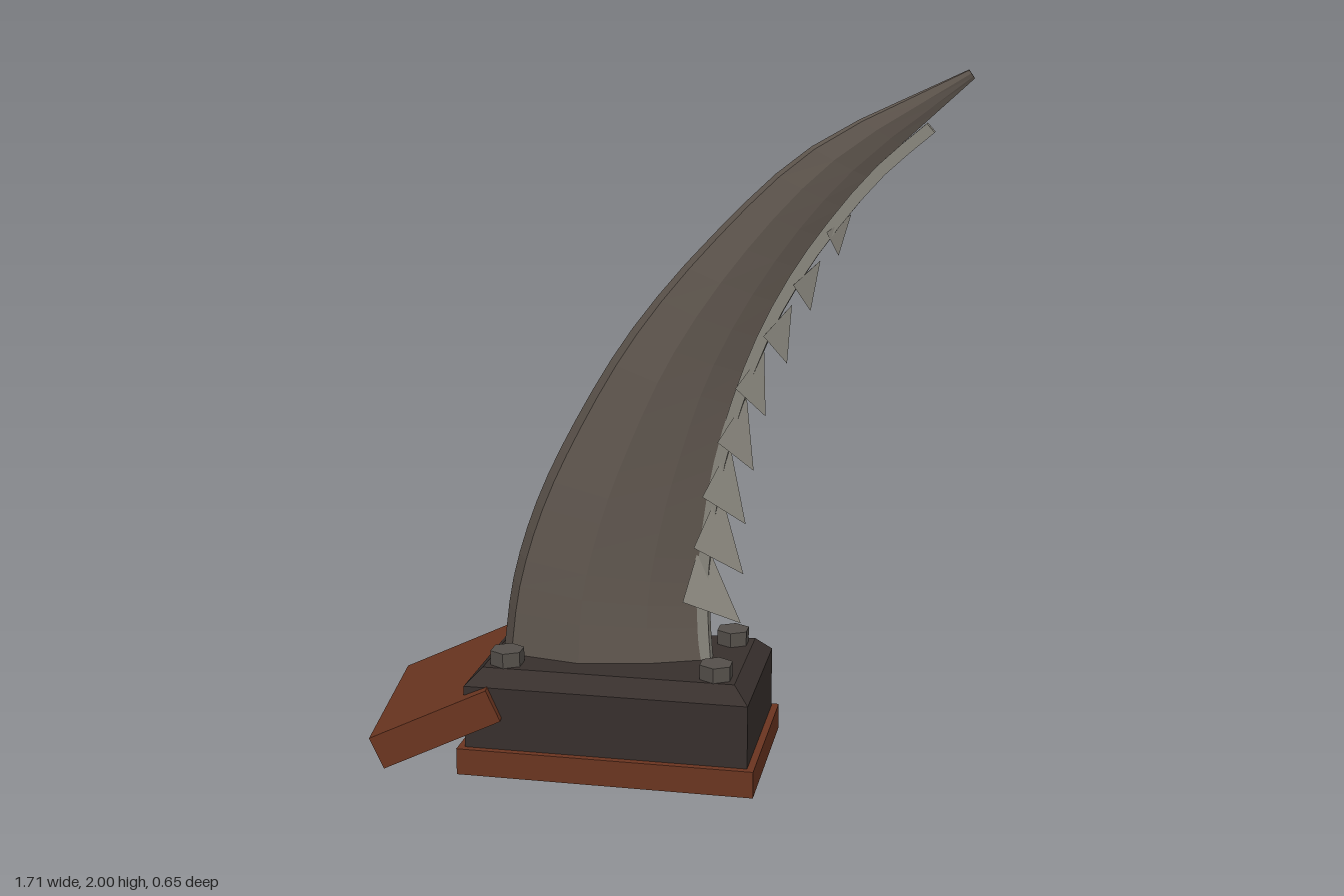
import * as THREE from 'three';
import { ConvexGeometry } from 'three/addons/geometries/ConvexGeometry.js';

const mat = (color) => new THREE.MeshStandardMaterial({ color, flatShading: true });
const V = (x, y, z = 0) => new THREE.Vector3(x, y, z);
const curve = (pts) => new THREE.CatmullRomCurve3(pts.map(([x, y]) => V(x, y)));

// Skin a list of equal closed rings (counter-clockwise seen from the far end), with end caps
function loft(rings) {
  const n = rings[0].length, last = rings.length - 1, pos = [], idx = [];
  rings.forEach((r) => r.forEach((p) => pos.push(p.x, p.y, p.z)));
  for (let i = 0; i < last; i++) {
    for (let j = 0; j < n; j++) {
      const a = i * n + j, b = i * n + (j + 1) % n;
      idx.push(a, b, b + n, a, b + n, a + n);
    }
  }
  for (let j = 1; j < n - 1; j++) {
    idx.push(0, j + 1, j, last * n, last * n + j, last * n + j + 1);
  }
  const g = new THREE.BufferGeometry();
  g.setAttribute('position', new THREE.Float32BufferAttribute(pos, 3));
  g.setIndex(idx);
  const flat = g.toNonIndexed();
  flat.computeVertexNormals();
  return flat;
}

export function createModel() {
  const model = new THREE.Group();
  const brown = mat(0x6b3520), dark = mat(0x38302d), steel = mat(0x60574f);
  const edgeMat = mat(0x8a877e), boltMat = mat(0x55504b);
  const add = (name, geo, material, x = 0, y = 0, z = 0) => {
    const m = new THREE.Mesh(geo, material);
    m.name = name;
    m.position.set(x, y, z);
    model.add(m);
    return m;
  };
  const zc = -0.006;

  // Wooden plinth and tilted plank
  add('plinth', new THREE.BoxGeometry(0.86, 0.078, 0.53), brown, -0.1, 0.042, zc);
  const plank = add('plank', new THREE.BoxGeometry(0.37, 0.1, 0.6), brown, -0.625, 0.147, -0.005);
  plank.rotation.set(0, 0.14, 0.42, 'YZX');

  // Dark socket block with chamfered edges and corners
  const bevel = 0.045, hw = 0.41 - bevel, hd = 0.245 - bevel;
  const outline = new THREE.Shape([
    new THREE.Vector2(-hw, -hd), new THREE.Vector2(hw, -hd),
    new THREE.Vector2(hw, hd), new THREE.Vector2(-hw, hd),
  ]);
  const blockGeo = new THREE.ExtrudeGeometry(outline, {
    depth: 0.31 - 2 * bevel, bevelEnabled: true, bevelSegments: 1,
    bevelSize: bevel, bevelThickness: bevel,
  });
  blockGeo.rotateX(-Math.PI / 2);
  add('socketBlock', blockGeo, dark, -0.1, bevel, zc);

  // Hexagonal bolts
  for (const x of [-0.405, 0.205]) {
    for (const z of [-0.152, 0.152]) {
      add('bolt', new THREE.CylinderGeometry(0.05, 0.05, 0.06, 6), boltMat, x, 0.323, z + zc);
    }
  }

  // Curved blade: faceted sections between the back and cutting curves
  const back = curve([[-0.46, 0.28], [-0.426, 0.52], [-0.352, 0.757], [-0.235, 1.0],
    [-0.066, 1.275], [0.167, 1.55], [0.43, 1.79], [0.844, 1.998]]);
  const front = curve([[0.15, 0.28], [0.13, 0.47], [0.15, 0.68], [0.185, 0.89],
    [0.255, 1.16], [0.4, 1.46], [0.585, 1.71], [0.86, 1.975]]);
  const width = curve([[0.12, 0], [0.11, 1], [0.1, 2], [0.088, 3],
    [0.073, 4], [0.053, 5], [0.033, 6], [0.008, 7]]);
  const side = [[0.07, 0.66], [0.42, 1], [0.75, 0.66], [1, 0.15]];
  const section = [[0, 0], ...side, ...side.map(([t, w]) => [t, -w]).reverse()];
  const rings = [];
  for (let i = 0; i <= 21; i++) {
    const s = i / 21, a = back.getPoint(s), b = front.getPoint(s), w = width.getPoint(s).x;
    rings.push(section.map(([t, k]) => a.clone().lerp(b, t).setZ(k * w)));
  }
  add('blade', loft(rings), steel, 0, 0, zc);

  // Pale strip along the cutting edge
  const edge = curve([[0.152, 0.29], [0.14, 0.5], [0.155, 0.7], [0.188, 0.9], [0.238, 1.08],
    [0.305, 1.26], [0.393, 1.43], [0.495, 1.58], [0.62, 1.73], [0.75, 1.845]]);
  const bar = [[-1, -1], [-1, 1], [1, 1], [1, -1]];
  const barRings = [];
  for (let i = 0; i <= 18; i++) {
    const p = edge.getPoint(i / 18), t = edge.getTangent(i / 18), out = V(t.y, -t.x);
    barRings.push(bar.map(([u, v]) => p.clone().addScaledVector(out, u * 0.016).setZ(v * 0.021)));
  }
  add('edgeStrip', loft(barRings), edgeMat, 0, 0, zc);

  // Barbed teeth pointing out and down, shrinking toward the tip
  const tips = [[0.251, 0.423], [0.257, 0.571], [0.262, 0.72], [0.283, 0.878],
    [0.315, 1.037], [0.373, 1.19], [0.436, 1.34], [0.51, 1.495]];
  tips.forEach(([x, y], i) => {
    const k = 1 - 0.58 * i / 7;
    const t = edge.getTangent(0.08 + 0.68 * i / 7), out = V(t.y, -t.x);
    const corner = (o, u, z) => V(x, y).addScaledVector(out, o * k).addScaledVector(t, u * k).setZ(z * k);
    add('tooth', new ConvexGeometry([
      V(x, y), corner(-0.153, 0.085, 0.075), corner(-0.153, 0.085, -0.075), corner(-0.1, 0.265, 0),
    ]), edgeMat, 0, 0, zc);
  });

  return model;
}
